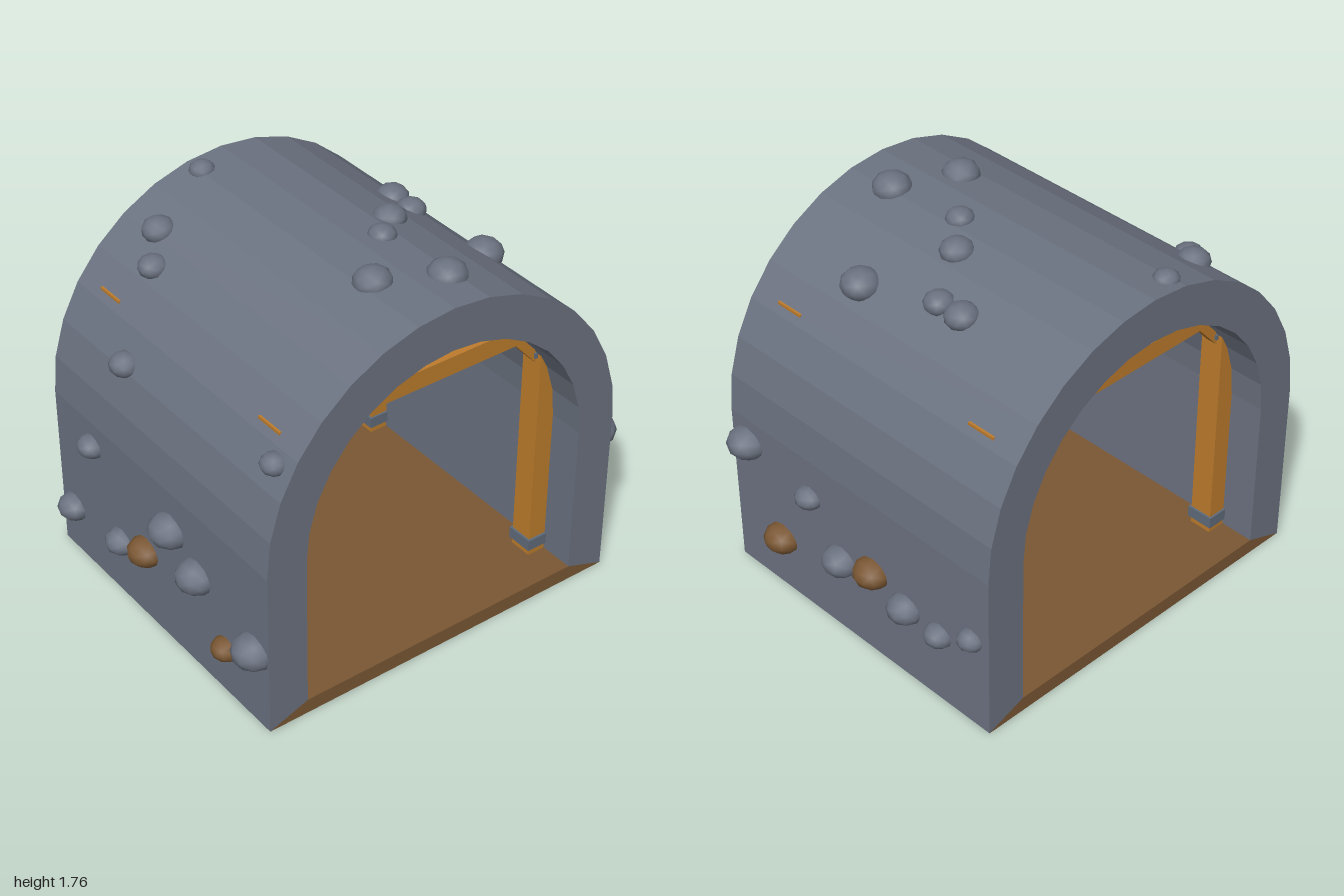
import * as THREE from 'three';

const mat = (name, color) => {
  const m = new THREE.MeshStandardMaterial({ color });
  m.name = name;
  return m;
};

export function createModel() {
  const stone = mat('slate stone', 0x6b7280);
  const timber = mat('golden timber', 0xbd7c2c);
  const earth = mat('brown earth', 0x7a5733);
  const iron = mat('iron', 0x5f6b7a);

  const root = new THREE.Group();
  root.name = 'mineTunnel';
  const DEPTH = 1.58, SPRING = 0.8, SEGMENTS = 16;

  const add = (name, geo, material, x = 0, y = 0, z = 0, parent = root) => {
    const mesh = new THREE.Mesh(geo, material);
    mesh.name = name;
    mesh.position.set(x, y, z);
    parent.add(mesh);
    return mesh;
  };
  const extrude = (points) => {
    const geo = new THREE.ExtrudeGeometry(new THREE.Shape(points), { depth: DEPTH, bevelEnabled: false });
    return geo.translate(0, 0, -DEPTH / 2);
  };
  const arc = (rx, ry) => Array.from({ length: SEGMENTS + 1 }, (_, i) => {
    const a = (i / SEGMENTS) * Math.PI;
    return new THREE.Vector2(Math.cos(a) * rx, SPRING + Math.sin(a) * ry);
  });
  const v = (x, y) => new THREE.Vector2(x, y);

  // Faceted vault with upright lower walls
  add('archShell', extrude([
    v(0.9, 0), ...arc(0.9, 0.907), v(-0.9, 0),
    v(-0.71, 0.07), ...arc(0.71, 0.71).reverse(), v(0.71, 0.07),
  ]), stone);

  // Earth floor wedged between the walls
  add('floor', extrude([v(-0.9, 0), v(0.9, 0), v(0.71, 0.07), v(-0.71, 0.07)]), earth);

  // Two timber frames: posts, crossbeam, braces and iron fittings
  for (const z of [0.57, -0.57]) {
    const frame = new THREE.Group();
    frame.name = z > 0 ? 'frontFrame' : 'backFrame';
    frame.position.z = z;
    root.add(frame);
    add('crossbeam', new THREE.BoxGeometry(1.45, 0.085, 0.14), timber, 0, 1.303, 0, frame);
    for (const s of [1, -1]) {
      add('post', new THREE.BoxGeometry(0.095, 1.2, 0.11), timber, s * 0.6675, 0.665, 0, frame);
      add('postShoe', new THREE.BoxGeometry(0.115, 0.055, 0.13), iron, s * 0.6675, 0.13, 0, frame);
      const brace = add('brace', new THREE.BoxGeometry(0.25, 0.04, 0.05), timber, s * 0.56, 1.185, 0, frame);
      brace.rotation.z = -s * 0.84;
      add('braceBolt', new THREE.BoxGeometry(0.02, 0.025, 0.07), iron, s * 0.617, 1.13, 0, frame);
    }
  }

  // Half-buried rocks, slightly flattened
  const rockGeo = new THREE.IcosahedronGeometry(1, 1);
  let count = 0;
  const rock = (x, y, z, r, material = stone) => {
    const m = add(material === earth ? 'earthClod' : 'rock', rockGeo, material, x, y, z);
    m.scale.set(r, r * 0.77, r);
    m.rotation.y = count++ * 1.7;
  };

  // Roof rocks: x, z, radius
  const roof = [
    [-0.16, -0.7, 0.058], [-0.47, -0.57, 0.075], [-0.58, -0.45, 0.068], [-0.82, -0.32, 0.07],
    [0.47, -0.2, 0.076], [0.47, -0.07, 0.068], [0.26, 0.05, 0.075], [0.12, 0.18, 0.063],
    [0.55, 0.31, 0.09], [-0.12, 0.43, 0.085], [0.15, 0.56, 0.088], [-0.78, 0.68, 0.06],
  ];
  for (const [x, z, r] of roof) rock(x, SPRING + 0.9 * Math.sqrt(1 - (x / 0.9) ** 2), z, r);

  // Wall rocks from back to front: height, radius
  const zs = [-0.69, -0.5, -0.3, -0.1, 0.1, 0.29, 0.49, 0.69];
  const walls = {
    1: [[0.455, 0.063], [0.355, 0.07], [0.37, 0.086], [0.44, 0.09],
      [0.38, 0.09], [0.61, 0.068], [0.27, 0.09], [0.68, 0.096]],
    '-1': [[0.235, 0.082], [0.68, 0.07], [0.29, 0.078], [0.365, 0.088],
      [0.61, 0.1], [0.49, 0.098], [0.24, 0.07], [0.37, 0.1]],
  };
  for (const s of [1, -1]) {
    walls[s].forEach(([y, r], i) => rock(s * 0.9, y, zs[i], r, i === 3 || i === 6 ? earth : stone));
  }
  return root;
}
